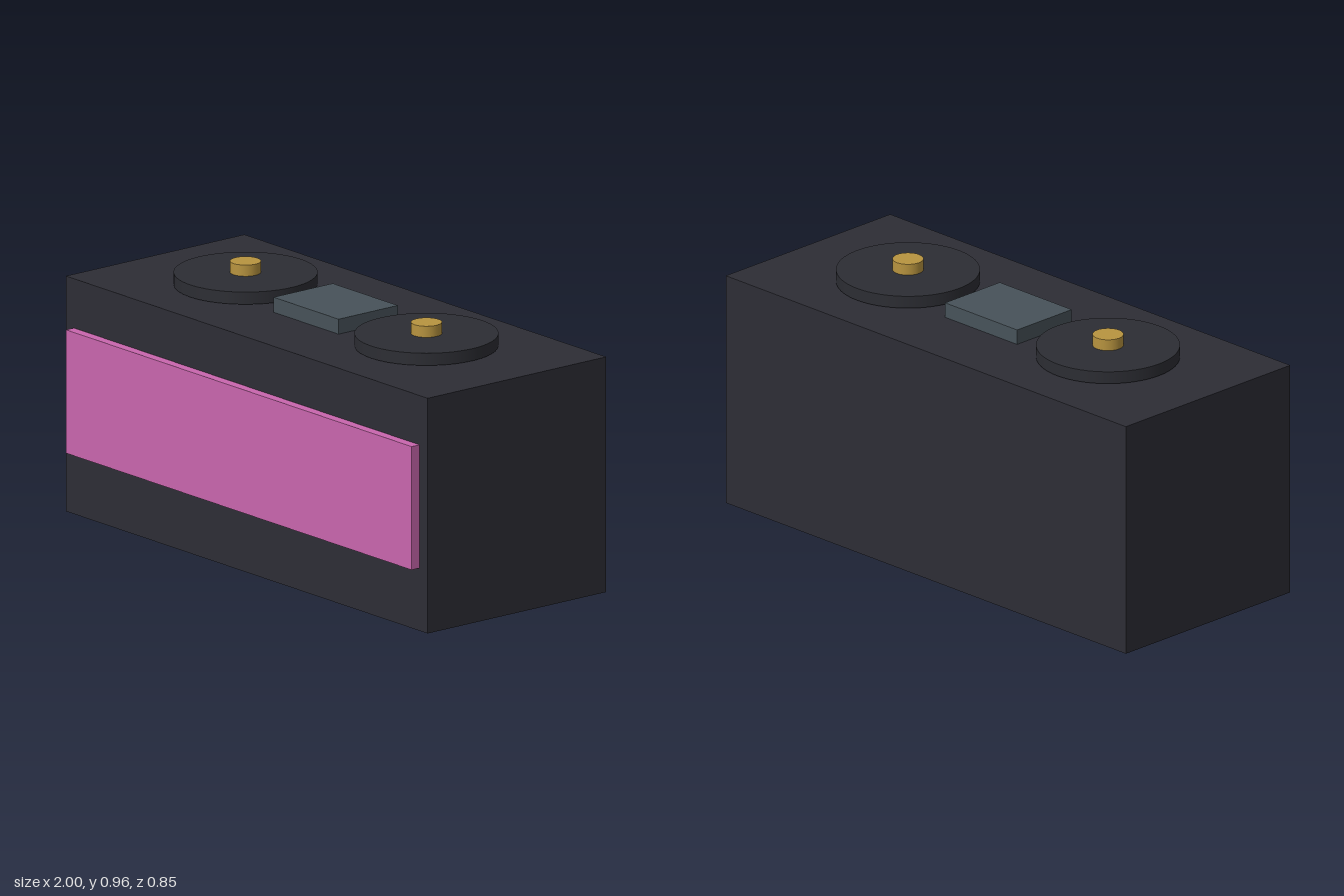
import * as THREE from 'three';

const mat = (name, color) => {
  const m = new THREE.MeshStandardMaterial({ color });
  m.name = name;
  return m;
};

export function createModel() {
  const model = new THREE.Group();
  model.name = 'deckConsole';

  const charcoal = mat('charcoal', 0x2d2d35);
  const graphite = mat('graphite', 0x2c2d33);
  const slate = mat('slate', 0x475259);
  const brass = mat('brass', 0xb8943f);
  const pink = mat('pink', 0xc966ae);

  const add = (name, geometry, material, x, y, z) => {
    const mesh = new THREE.Mesh(geometry, material);
    mesh.name = name;
    mesh.position.set(x, y, z);
    model.add(mesh);
  };
  // Box given by its low and high limits on each axis
  const box = (name, material, [x0, x1], [y0, y1], [z0, z1]) =>
    add(name, new THREE.BoxGeometry(x1 - x0, y1 - y0, z1 - z0), material,
      (x0 + x1) / 2, (y0 + y1) / 2, (z0 + z1) / 2);

  // Cabinet, front panel and the small mixer between the decks
  box('cabinet', charcoal, [-1, 1], [0, 0.864], [-0.427, 0.391]);
  box('frontPanel', pink, [-0.955, 0.955], [0.23, 0.683], [0.391, 0.427]);
  box('mixer', slate, [-0.182, 0.178], [0.864, 0.919], [-0.154, 0.118]);

  // Two platters with a spindle knob each
  for (const [side, x] of [['right', -0.5], ['left', 0.5]]) {
    add(side + 'Platter', new THREE.CylinderGeometry(0.254, 0.254, 0.045, 64), graphite, x, 0.8925, -0.018);
    add(side + 'Spindle', new THREE.CylinderGeometry(0.055, 0.055, 0.041, 24), brass, x, 0.9355, -0.018);
  }
  return model;
}
